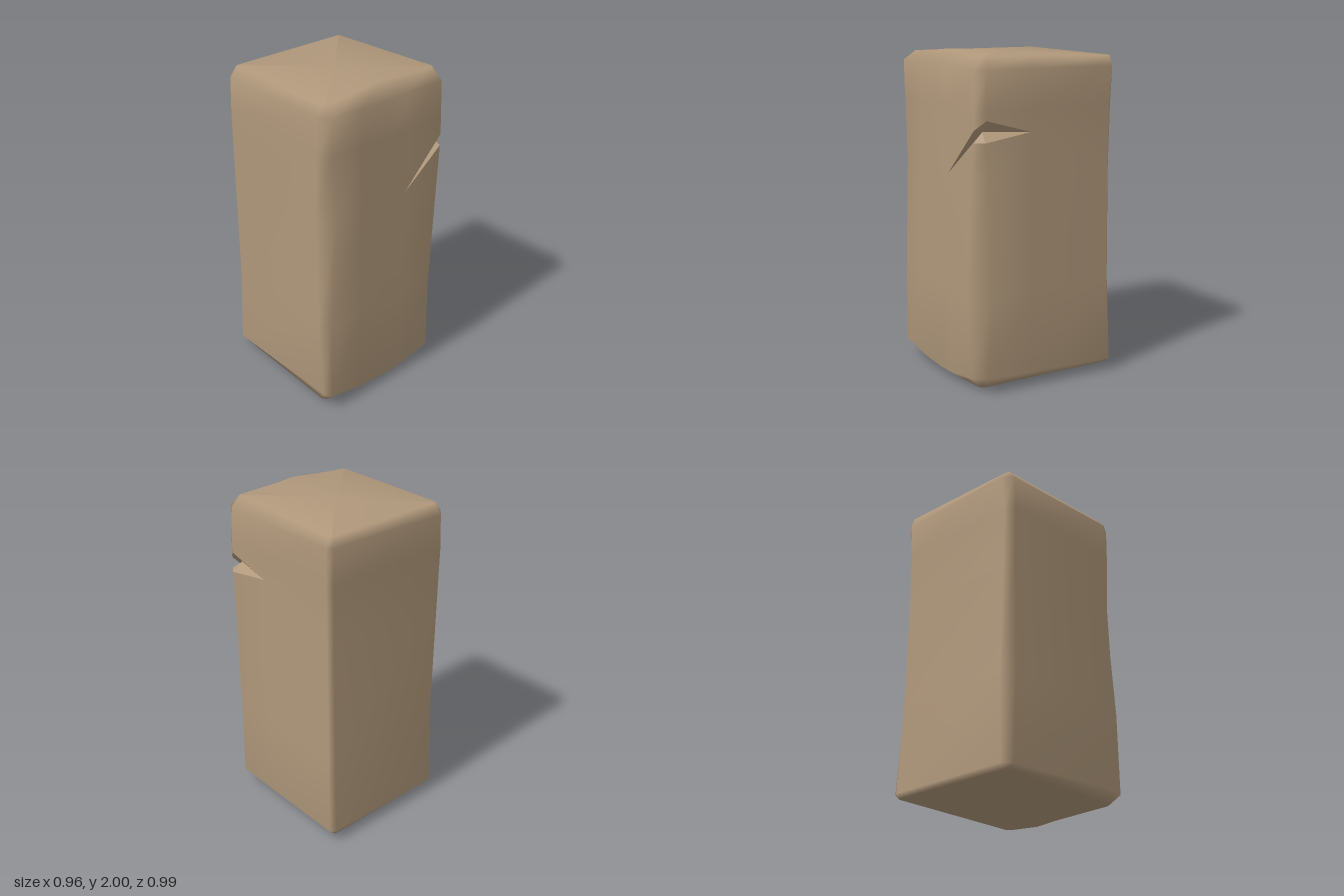
import * as THREE from 'three';

// Each level: front height, back height, heights of the three front mid points, and
// eight [x, z] corners running front-left, front-right, back-right, back-left.
const LEVELS = [
  { yf: 0.02, yb: 0.045, mid: [0.015, 0.01, 0.0],
    c: [[-0.43, 0.39], [-0.41, 0.41], [0.36, 0.39], [0.38, 0.37], [0.43, -0.47], [0.42, -0.48], [-0.4, -0.44], [-0.42, -0.42]] },
  { yf: 0.1, yb: 0.075, mid: [0.06, 0.05, 0.055],
    c: [[-0.465, 0.44], [-0.44, 0.495], [0.39, 0.46], [0.46, 0.385], [0.463, -0.475], [0.43, -0.497], [-0.39, -0.47], [-0.445, -0.42]] },
  { yf: 0.6, yb: 0.6, mid: [0.6, 0.6, 0.6],
    c: [[-0.478, 0.42], [-0.44, 0.49], [0.37, 0.475], [0.478, 0.365], [0.45, -0.45], [0.42, -0.475], [-0.38, -0.465], [-0.445, -0.4]] },
  { yf: 1.29, yb: 1.29, mid: [1.29, 1.29, 1.29],
    c: [[-0.475, 0.4], [-0.4, 0.485], [0.415, 0.465], [0.475, 0.385], [0.447, -0.44], [0.42, -0.465], [-0.4, -0.46], [-0.45, -0.41]] },
  { yf: 1.68, yb: 1.68, mid: [1.68, 1.68, 1.68],
    c: [[-0.475, 0.41], [-0.43, 0.48], [0.435, 0.455], [0.472, 0.4], [0.452, -0.44], [0.425, -0.468], [-0.41, -0.46], [-0.455, -0.41]] },
  { yf: 1.91, yb: 1.9, mid: [1.91, 1.9, 1.91],
    c: [[-0.472, 0.41], [-0.43, 0.485], [0.43, 0.45], [0.47, 0.39], [0.465, -0.45], [0.43, -0.475], [-0.39, -0.47], [-0.45, -0.41]] },
  { yf: 1.965, yb: 1.96, mid: [1.98, 2.0, 1.99],
    c: [[-0.425, 0.4], [-0.41, 0.415], [0.41, 0.385], [0.425, 0.37], [0.43, -0.45], [0.42, -0.46], [-0.38, -0.42], [-0.405, -0.41]] },
];
LEVELS[6].yr = 1.982; // the top front-right corner sits a little higher

// Expands one level into twelve points, adding three on the front and one on the right
function ring({ yf, yb, yr = yf, mid, c }) {
  const p = c.map(([x, z], i) => new THREE.Vector3(x, i < 2 ? yf : i < 4 ? yr : yb, z));
  const front = [-0.2, 0, 0.14].map((x, i) => {
    const v = p[1].clone().lerp(p[2], (x - p[1].x) / (p[2].x - p[1].x));
    v.y = mid[i];
    return v;
  });
  return [p[0], p[1], ...front, p[2], p[3], p[3].clone().lerp(p[4], 0.35), ...p.slice(4)];
}

function geometryFrom(points, index) {
  const g = new THREE.BufferGeometry().setFromPoints(points);
  g.setIndex(index);
  return g;
}

export function createModel() {
  const group = new THREE.Group();
  group.name = 'chippedBlock';
  const stone = new THREE.MeshStandardMaterial({ color: 0xb0987b });
  stone.name = 'tan stone';

  const N = 12;
  const points = LEVELS.flatMap(ring);
  const index = [];
  const at = (level, i) => level * N + (i % N);
  const add = (v) => points.push(v) - 1;
  const fan = (...ids) => {
    for (let k = 1; k < ids.length - 1; k++) index.push(ids[0], ids[k], ids[k + 1]);
  };

  // Sides, leaving the band around the notch open
  for (let l = 0; l < LEVELS.length - 1; l++) {
    for (let i = 0; i < N; i++) {
      if (l === 3 && i >= 4 && i <= 7) continue;
      fan(at(l, i), at(l, i + 1), at(l + 1, i + 1), at(l + 1, i));
    }
  }

  // Top and bottom
  const top = add(new THREE.Vector3(0, 1.98, 0));
  const bottom = add(new THREE.Vector3(0, 0.03, 0));
  for (let i = 0; i < N; i++) {
    index.push(top, at(6, i), at(6, i + 1), bottom, at(0, i + 1), at(0, i));
  }

  // Faces surrounding the notch on the front-right edge
  const tip = at(3, 4);
  const lowFront = add(new THREE.Vector3(0.435, 1.505, 0.458));
  const lowSide = add(new THREE.Vector3(0.472, 1.505, 0.405));
  const upFront = add(new THREE.Vector3(0.435, 1.575, 0.457));
  const upSide = add(new THREE.Vector3(0.472, 1.63, 0.395));
  const sideTip = add(points[at(3, 7)].clone().lerp(points[at(4, 7)], 0.66));
  fan(tip, at(3, 5), lowFront);
  fan(at(4, 4), tip, upFront, at(4, 5));
  fan(at(3, 5), at(3, 6), lowSide, lowFront);
  fan(upFront, upSide, at(4, 6), at(4, 5));
  fan(at(3, 6), at(3, 7), sideTip, lowSide);
  fan(at(4, 6), upSide, sideTip, at(4, 7));
  fan(sideTip, at(3, 7), at(3, 8), at(4, 8), at(4, 7));

  const bodyGeometry = geometryFrom(points, index);
  bodyGeometry.computeVertexNormals();
  const body = new THREE.Mesh(bodyGeometry, stone);
  body.name = 'block';

  // Wedge cut: its rim joined to one deep point
  const rim = [tip, lowFront, lowSide, sideTip, upSide, upFront].map((i) => points[i]);
  const cut = [];
  for (let i = 0; i < 6; i++) cut.push(i, (i + 1) % 6, 6);
  const notchGeometry = geometryFrom([...rim, new THREE.Vector3(0.41, 1.56, 0.39)], cut).toNonIndexed();
  notchGeometry.computeVertexNormals();
  const notch = new THREE.Mesh(notchGeometry, stone);
  notch.name = 'notch';

  group.add(body, notch);
  return group;
}
